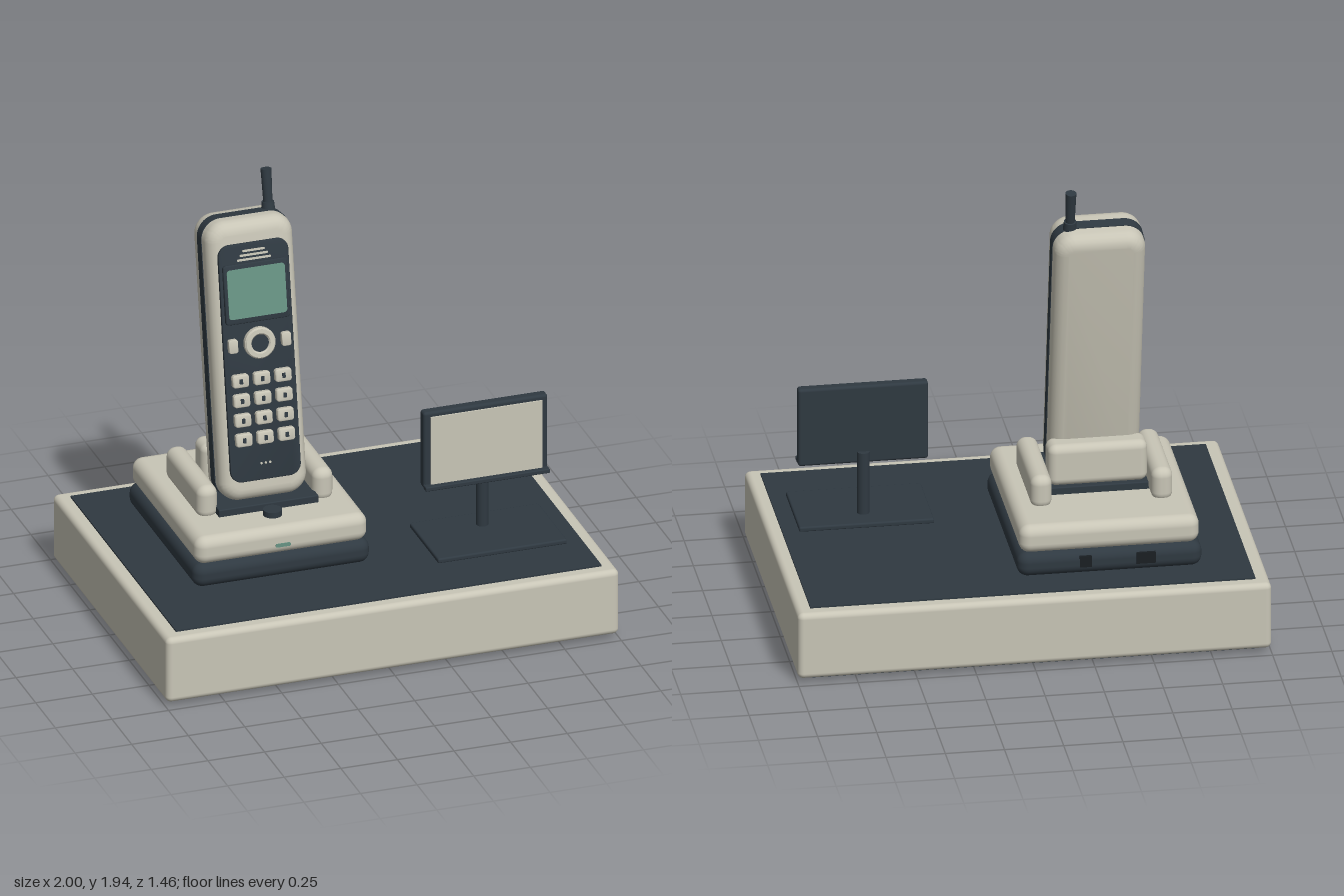
import * as THREE from 'three';
import { toCreasedNormals } from 'three/addons/utils/BufferGeometryUtils.js';
import { RoundedBoxGeometry } from 'three/addons/geometries/RoundedBoxGeometry.js';

function material(name, color) {
  const m = new THREE.MeshStandardMaterial({ color });
  m.name = name;
  return m;
}

const beige = material('warm beige plastic', 0xc8c5b6);
const dark = material('dark slate plastic', 0x2f3941);
const green = material('screen green', 0x679383);
const black = material('socket black', 0x1a1f23);

function add(parent, name, geometry, mat, x, y, z) {
  const mesh = new THREE.Mesh(geometry, mat);
  mesh.name = name;
  mesh.position.set(x, y, z);
  parent.add(mesh);
  return mesh;
}

// Box given by its extents on each axis, with optional edge radius
function block(parent, name, mat, [x0, x1], [y0, y1], [z0, z1], r = 0) {
  const size = [x1 - x0, y1 - y0, z1 - z0];
  const geo = r ? new RoundedBoxGeometry(...size, 4, r) : new THREE.BoxGeometry(...size);
  return add(parent, name, geo, mat, (x0 + x1) / 2, (y0 + y1) / 2, (z0 + z1) / 2);
}

// Rounded rectangle extruded along z, centred, with bevelled rims; sizes are outer sizes
function slab(w, h, d, r, bevel = 0) {
  const a = w / 2 - bevel, b = h / 2 - bevel, c = Math.max(r - bevel, 0.002);
  const s = new THREE.Shape();
  s.absarc(a - c, b - c, c, 0, Math.PI / 2);
  s.absarc(-a + c, b - c, c, Math.PI / 2, Math.PI);
  s.absarc(-a + c, -b + c, c, Math.PI, Math.PI * 1.5);
  s.absarc(a - c, -b + c, c, Math.PI * 1.5, Math.PI * 2);
  s.closePath();
  const geo = new THREE.ExtrudeGeometry(s, {
    depth: d - 2 * bevel, curveSegments: 8, bevelEnabled: bevel > 0,
    bevelThickness: bevel, bevelSize: bevel, bevelSegments: 5,
  });
  geo.translate(0, 0, -d / 2 + bevel);
  return toCreasedNormals(geo, 0.6);
}

function disc(r, d) {
  return new THREE.CylinderGeometry(r, r, d, 32).rotateX(Math.PI / 2);
}

function buildPlinth() {
  const g = new THREE.Group();
  g.name = 'plinth';
  block(g, 'plinthFoot', dark, [-0.94, 0.94], [0, 0.03], [-0.67, 0.67]);
  block(g, 'plinthBody', beige, [-1, 1], [0.02, 0.318], [-0.73, 0.73], 0.025);
  block(g, 'plinthMat', dark, [-0.94, 0.94], [0.31, 0.325], [-0.67, 0.67]);
  return g;
}

function buildDock() {
  const g = new THREE.Group();
  g.name = 'chargingDock';
  block(g, 'dockLower', dark, [-0.74, 0.04], [0.322, 0.432], [-0.53, 0.34], 0.045);
  block(g, 'dockUpper', beige, [-0.73, 0.03], [0.425, 0.55], [-0.52, 0.335], 0.045);
  block(g, 'cradleTray', dark, [-0.57, -0.13], [0.54, 0.582], [-0.21, 0.155], 0.005);
  for (const side of [-1, 1]) {
    const x = -0.35 + side * 0.255;
    block(g, 'cradleArm', beige, [x - 0.045, x + 0.045], [0.53, 0.68], [-0.315, 0.13], 0.04);
  }
  block(g, 'cradleBack', beige, [-0.56, -0.14], [0.58, 0.765], [-0.205, -0.085], 0.035);
  add(g, 'pageButton', new THREE.CylinderGeometry(0.04, 0.04, 0.03, 32), dark, -0.35, 0.56, 0.2);
  add(g, 'chargeLight', slab(0.066, 0.016, 0.008, 0.006), green, -0.35, 0.472, 0.335);
  // Rear sockets
  block(g, 'lineSocket', black, [-0.54, -0.46], [0.36, 0.41], [-0.535, -0.52]);
  block(g, 'powerSocket', black, [-0.27, -0.22], [0.36, 0.41], [-0.535, -0.52]);
  return g;
}

function buildHandset() {
  const g = new THREE.Group();
  g.name = 'handset';
  g.position.set(-0.35, 0.57, 0.019);
  g.rotation.x = -0.17;
  const length = 1.22, face = 0.1125, panel = face + 0.012;

  add(g, 'handsetShell', slab(0.385, length, 0.225, 0.085, 0.055), beige, 0, length / 2, 0);
  add(g, 'sideSeam', slab(0.391, length + 0.006, 0.052, 0.088), dark, 0, length / 2, 0);
  add(g, 'facePanel', slab(0.31, 1.036, 0.024, 0.05, 0.005), dark, 0, 0.608, face);

  // Earpiece slots
  [0.1, 0.125, 0.15].forEach((w, i) =>
    add(g, 'earpieceSlot', slab(w, 0.009, 0.008, 0.004), beige, 0, 1.094 - i * 0.019, panel));

  // Display
  add(g, 'screenBezel', slab(0.284, 0.26, 0.03, 0.015, 0.006), dark, 0, 0.913, panel);
  add(g, 'screen', slab(0.256, 0.216, 0.008, 0.014), green, 0, 0.915, panel + 0.014);

  // Navigation cluster
  const ring = new THREE.LatheGeometry([
    [0.038, -0.015], [0.068, -0.015], [0.068, 0.008], [0.062, 0.015], [0.044, 0.015], [0.038, 0.008], [0.038, -0.015],
  ].map(([r, y]) => new THREE.Vector2(r, y)), 40).rotateX(Math.PI / 2);
  add(g, 'navigationRing', toCreasedNormals(ring, 0.5), beige, 0, 0.69, panel + 0.012);
  add(g, 'navigationCentre', disc(0.038, 0.03), dark, 0, 0.69, panel + 0.005);
  for (const side of [-1, 1])
    add(g, 'callButton', slab(0.041, 0.06, 0.028, 0.01, 0.006), beige, side * 0.117, 0.69, panel + 0.008);

  // Keypad, each key with a small plain mark
  for (let row = 0; row < 4; row++) {
    for (let col = -1; col <= 1; col++) {
      const x = col * 0.094, y = 0.536 - row * 0.086;
      add(g, 'key', slab(0.072, 0.056, 0.032, 0.012, 0.007), beige, x, y, panel + 0.008);
      add(g, 'keyMark', slab(0.015, 0.022, 0.004, 0.003), dark, x, y, panel + 0.024);
    }
  }

  // Microphone holes
  for (const i of [-1, 0, 1])
    add(g, 'microphoneHole', disc(0.005, 0.006), beige, i * 0.019, 0.163, panel);

  // Antenna
  add(g, 'antennaCollar', new THREE.CylinderGeometry(0.026, 0.03, 0.05, 24), dark, 0.12, 1.225, -0.012);
  add(g, 'antennaRod', new THREE.CylinderGeometry(0.023, 0.019, 0.16, 24), dark, 0.12, 1.313, -0.012);
  return g;
}

function buildSign() {
  const g = new THREE.Group();
  g.name = 'signStand';
  block(g, 'signFoot', dark, [0.3, 0.87], [0.322, 0.345], [0.07, 0.435], 0.008);
  add(g, 'signPole', new THREE.CylinderGeometry(0.026, 0.026, 0.285, 24), dark, 0.583, 0.482, 0.181);
  block(g, 'signBoard', dark, [0.308, 0.857], [0.572, 0.925], [0.18, 0.228], 0.012);
  block(g, 'signCard', beige, [0.337, 0.831], [0.592, 0.904], [0.226, 0.235]);
  block(g, 'signLedge', dark, [0.308, 0.857], [0.572, 0.592], [0.22, 0.257], 0.005);
  return g;
}

export function createModel() {
  const model = new THREE.Group();
  model.name = 'cordlessPhoneDisplay';
  model.add(buildPlinth(), buildDock(), buildHandset(), buildSign());
  return model;
}
